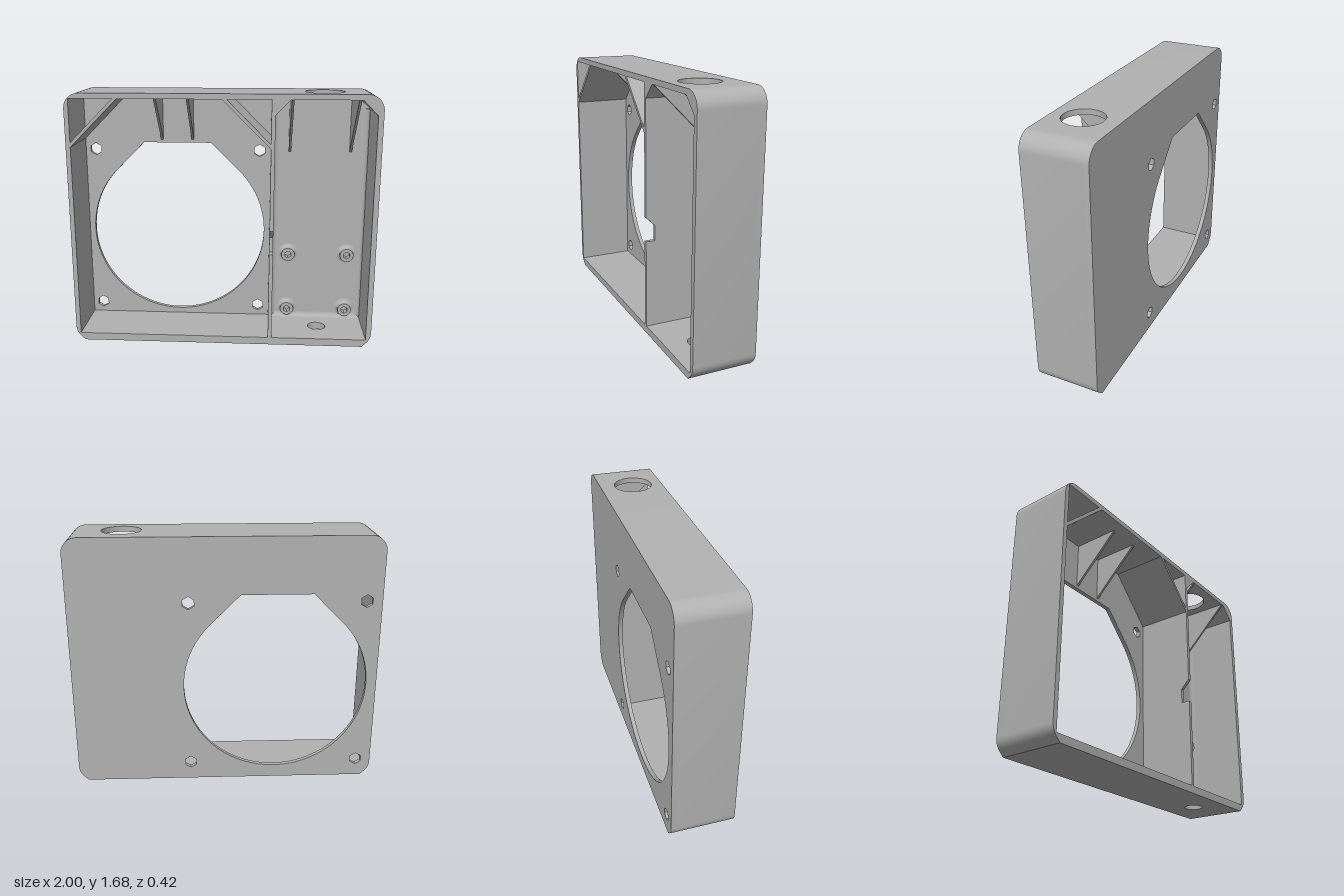
import * as THREE from 'three';
import { toCreasedNormals } from 'three/addons/utils/BufferGeometryUtils.js';

const BACK = -0.21, FLOOR = -0.18, FRONT = 0.21;
const BOTTOM = 0.05, TOP = 1.645, HEIGHT = 1.68;

export function createModel() {
  const model = new THREE.Group();
  model.name = 'fanEnclosure';
  const plastic = new THREE.MeshStandardMaterial({ color: 0xb1b1b1 });
  plastic.name = 'grey plastic';

  const add = (name, geometry) => {
    const mesh = new THREE.Mesh(toCreasedNormals(geometry, 0.5), plastic);
    mesh.name = name;
    model.add(mesh);
    return mesh;
  };
  const poly = (points) => new THREE.Shape(points.map(([x, y]) => new THREE.Vector2(x, y)));
  const extrude = (shape, depth) =>
    new THREE.ExtrudeGeometry(shape, { depth, bevelEnabled: false, curveSegments: 48 });
  // xy outline between two z positions
  const facing = (name, shape, z0, z1) => add(name, extrude(shape, z1 - z0).translate(0, 0, z0));
  // zy outline between two x positions
  const sideways = (name, shape, x0, x1) =>
    add(name, extrude(shape, x1 - x0).rotateY(-Math.PI / 2).translate(x1, 0, 0));
  // (x, -z) outline between two y positions
  const upright = (name, shape, y0, y1) =>
    add(name, extrude(shape, y1 - y0).rotateX(-Math.PI / 2).translate(0, y0, 0));

  const arc = (cx, cy, r, from, to, steps = 12) =>
    Array.from({ length: steps + 1 }, (_, i) => {
      const a = THREE.MathUtils.degToRad(from + ((to - from) * i) / steps);
      return [cx + r * Math.cos(a), cy + r * Math.sin(a)];
    });
  const hexagon = (x, y, r) => new THREE.Path(
    arc(x, y, r, 90, 390, 5).map(([px, py]) => new THREE.Vector2(px, py)));
  const circle = (x, y, r) => new THREE.Path().absarc(x, y, r, 0, Math.PI * 2);

  // Outer outline: round top corners, lower corners end in a 45 degree chamfer
  const leftEdge = [...arc(-0.9, 1.58, 0.1, 90, 180), ...arc(-0.9, 0.1, 0.1, 180, 225, 6), [-0.94, 0]];
  const rightEdge = [[0.94, 0], ...arc(0.9, 0.1, 0.1, -45, 0, 6), ...arc(0.9, 1.58, 0.1, 0, 90)];

  // Back plate with drop-shaped fan opening and hexagonal screw holes
  const plate = poly([...leftEdge, ...rightEdge]);
  const opening = [...arc(-0.33, 0.69, 0.602, 135, 405, 72), [-0.098, 1.31], [-0.562, 1.31]];
  plate.holes.push(new THREE.Path(opening.map(([x, y]) => new THREE.Vector2(x, y))));
  for (const x of [-0.9, 0.235])
    for (const y of [0.125, 1.26]) plate.holes.push(hexagon(x, y, 0.042));
  facing('backPlate', plate, BACK, FLOOR);

  // Outer walls, leaving gaps for the two drilled panels
  facing('fanSideWall', poly([
    [0.45, HEIGHT], ...leftEdge, [0.45, 0], [0.45, BOTTOM], [-0.97, BOTTOM], [-0.97, TOP],
    [0.32, TOP], [0.32, 1.535], [0.335, 1.55], [0.43, TOP], [0.45, TOP],
  ]), FLOOR, FRONT);
  facing('outletSideWall', poly([
    [0.85, 0], ...rightEdge, [0.85, HEIGHT], [0.85, TOP], [0.87, TOP],
    [0.965, 1.55], [0.965, BOTTOM], [0.85, BOTTOM],
  ]), FLOOR, FRONT);

  // Top and bottom panels with round cable holes
  const panel = (name, radius, z, y0, y1) => {
    const shape = poly([[0.45, -FRONT], [0.85, -FRONT], [0.85, -FLOOR], [0.45, -FLOOR]]);
    shape.holes.push(circle(0.65, -z, radius));
    upright(name, shape, y0, y1);
  };
  panel('topPanel', 0.127, 0.013, TOP, HEIGHT);
  panel('bottomPanel', 0.061, 0, 0, BOTTOM);

  // Divider with a wire notch in its front edge
  sideways('divider', poly([
    [FLOOR, BOTTOM], [FRONT, BOTTOM], [FRONT, 0.64], [0.15, 0.64], [0.15, 0.74],
    [FRONT, 0.8], [FRONT, TOP], [FLOOR, TOP],
  ]), 0.31, 0.335);

  // Diagonal corner braces in the fan bay
  facing('leftBrace', poly([[-0.97, 1.335], [-0.66, TOP], [-0.69, TOP], [-0.97, 1.365]]), FLOOR, FRONT);
  facing('rightBrace', poly([[0.31, 1.335], [0.31, 1.365], [0.03, TOP], [0, TOP]]), FLOOR, FRONT);

  // Triangular gussets under the top wall
  for (const [x, size] of [[-0.435, 0.315], [-0.225, 0.315], [0.441, 0.388], [0.853, 0.388]])
    sideways('gusset', poly([[FLOOR, TOP - size], [FLOOR + size, TOP], [FLOOR, TOP]]),
      x - 0.008, x + 0.008);

  // Concave fillets around the floor of the narrow bay
  const r = 0.03;
  const cove = (x, y, sx, sy) => poly([[x, y],
    ...arc(r, r, r, 270, 180, 6).map(([u, v]) => [x + sx * u, y + sy * v])]);
  upright('leftFillet', cove(0.335, -FLOOR, 1, -1), BOTTOM, 1.55);
  upright('rightFillet', cove(0.965, -FLOOR, -1, -1), BOTTOM, 1.55);
  sideways('bottomFillet', cove(FLOOR, BOTTOM, 1, 1), 0.335, 0.965);

  // Screw bosses: flared base around a hexagonal socket
  for (const x of [0.444, 0.855])
    for (const y of [0.12, 0.53]) {
      const boss = new THREE.Shape().absarc(x, y, 0.046, 0, Math.PI * 2);
      boss.holes.push(hexagon(x, y, 0.025));
      facing('screwBoss', boss, FLOOR, FLOOR + 0.05);
      const flare = arc(0.07, 0.024, 0.024, 270, 180, 6).map(([u, v]) => new THREE.Vector2(u, v));
      add('bossFlare', new THREE.LatheGeometry(flare, 32).rotateX(Math.PI / 2).translate(x, y, FLOOR));
    }

  return model;
}
